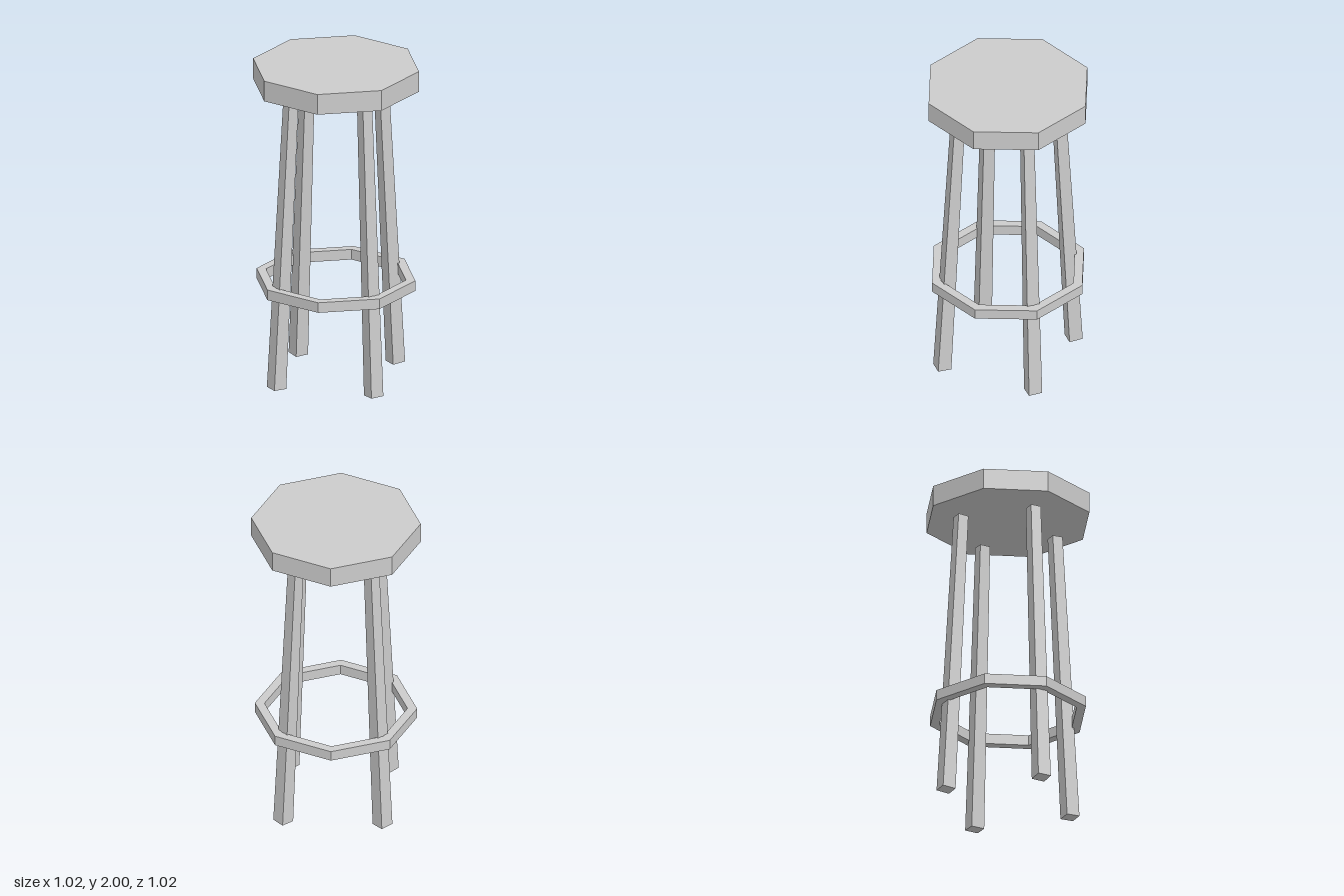
import * as THREE from 'three';

const SIDES = 8;

// Regular octagon with corners on the axes
function octagon(PathType, radius) {
  const points = [];
  for (let i = 0; i < SIDES; i++) {
    const a = (i / SIDES) * Math.PI * 2;
    points.push(new THREE.Vector2(Math.cos(a) * radius, Math.sin(a) * radius));
  }
  return new PathType(points);
}

export function createModel() {
  const stool = new THREE.Group();
  stool.name = 'barStool';
  const material = new THREE.MeshStandardMaterial({ color: 0xcccccc, flatShading: true });

  function add(name, geometry, parent = stool) {
    const mesh = new THREE.Mesh(geometry, material);
    mesh.name = name;
    parent.add(mesh);
    return mesh;
  }

  // Thick octagonal seat
  add('seat', new THREE.CylinderGeometry(0.512, 0.512, 0.13, SIDES)).position.y = 1.935;

  // Octagonal foot ring
  const ringShape = octagon(THREE.Shape, 0.49);
  ringShape.holes.push(octagon(THREE.Path, 0.432));
  const ringGeometry = new THREE.ExtrudeGeometry(ringShape, { depth: 0.065, bevelEnabled: false });
  ringGeometry.rotateX(-Math.PI / 2);
  add('footRing', ringGeometry).position.y = 0.583;

  // Four tapered square legs on the diagonals, leaning inwards; they stop just short of the seat
  const bottom = new THREE.Vector2(0.424, 0.003);
  const top = new THREE.Vector2(0.322, 1.838);
  const legGeometry = new THREE.CylinderGeometry(0.047, 0.06, bottom.distanceTo(top), 4);
  legGeometry.rotateY(Math.PI / 4);
  const lean = Math.atan2(bottom.x - top.x, top.y - bottom.y);
  ['frontLeftLeg', 'backLeftLeg', 'backRightLeg', 'frontRightLeg'].forEach((name, i) => {
    const pivot = new THREE.Group();
    pivot.name = name + 'Pivot';
    pivot.rotation.y = Math.PI / 4 + (i * Math.PI) / 2;
    stool.add(pivot);
    const leg = add(name, legGeometry, pivot);
    leg.position.set(0, (bottom.y + top.y) / 2, (bottom.x + top.x) / 2);
    leg.rotation.x = -lean;
  });

  return stool;
}
